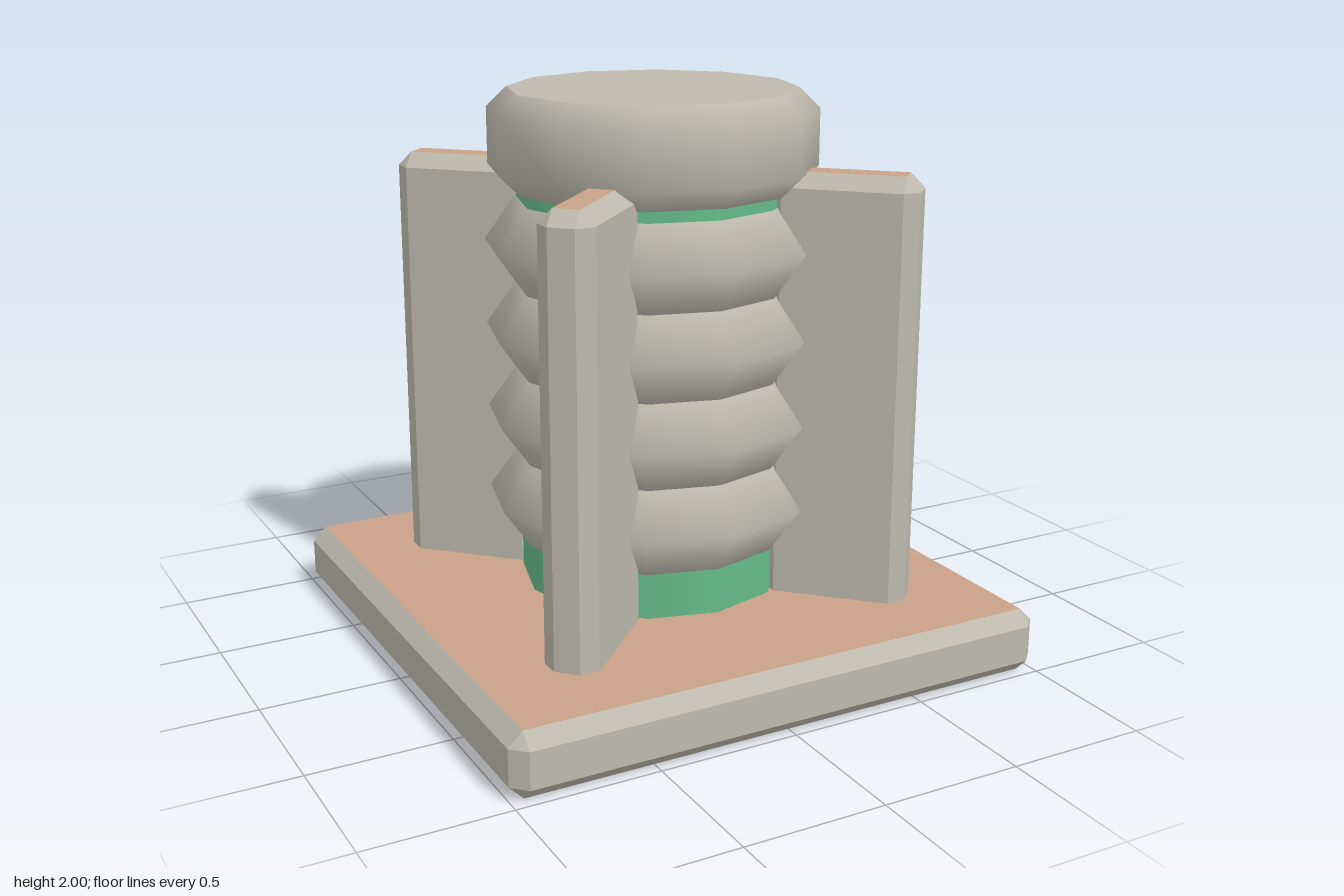
import * as THREE from 'three';
import { ConvexGeometry } from 'three/addons/geometries/ConvexGeometry.js';

const SIDES = 12;

function material(name, color) {
  const m = new THREE.MeshStandardMaterial({ color });
  m.name = name;
  return m;
}

// Box with every edge chamfered by c; group 0 = chamfers and sides, group 1 = top and bottom
function chamferedBox(w, h, d, c) {
  const half = [w / 2, h / 2, d / 2];
  const points = [];
  for (let axis = 0; axis < 3; axis++) {
    for (const sx of [-1, 1]) for (const sy of [-1, 1]) for (const sz of [-1, 1]) {
      const p = [sx, sy, sz].map((s, i) => s * (half[i] - (i === axis ? 0 : c)));
      points.push(new THREE.Vector3(...p));
    }
  }
  const geometry = new ConvexGeometry(points);
  const normal = geometry.attributes.normal;
  for (let i = 0; i < normal.count; i += 3) {
    geometry.addGroup(i, 3, Math.abs(normal.getY(i)) > 0.99 ? 1 : 0);
  }
  return geometry;
}

// Smooth twelve-sided turned shell from [radius, y] points, bottom to top
function turned(profile) {
  return new THREE.LatheGeometry(profile.map(([r, y]) => new THREE.Vector2(r, y)), SIDES);
}

export function createModel() {
  const model = new THREE.Group();
  const grey = material('warm grey', 0xbdb9ac);
  const tan = material('copper tan', 0xc9a187);
  const green = material('green', 0x66bb88);

  function add(name, geometry, mat, parent = model) {
    const mesh = new THREE.Mesh(geometry, mat);
    mesh.name = name;
    parent.add(mesh);
    return mesh;
  }

  // Square base plate
  add('basePlate', chamferedBox(2, 0.23, 2, 0.05), [grey, tan]).position.y = 0.115;

  // Four upright fins on the diagonals
  const inner = 0.43, outer = 0.944, bottom = 0.1, top = 1.74;
  const finGeometry = chamferedBox(0.19, top - bottom, outer - inner, 0.05);
  finGeometry.translate(0, (top + bottom) / 2, (inner + outer) / 2);
  for (let i = 0; i < 4; i++) {
    add('fin', finGeometry, [grey, tan]).rotation.y = Math.PI / 4 + i * Math.PI / 2;
  }

  // Central core
  add('core', turned([[0.48, 0.2], [0.48, 1.7]]), green);

  // Stack of four bulging rings around the core
  const pitch = 0.306, ringHalf = 0.152;
  const ringGeometry = turned([[0.476, -ringHalf], [0.486, -ringHalf], [0.593, 0], [0.486, ringHalf], [0.476, ringHalf]]);
  for (let i = 0; i < 4; i++) {
    add('ring', ringGeometry, grey).position.y = 0.547 + i * pitch;
  }

  // Chamfered cap with flat top and underside
  const cap = new THREE.Group();
  cap.name = 'cap';
  model.add(cap);
  add('capRim', turned([[0.505, 1.66], [0.577, 1.732], [0.577, 1.93], [0.505, 2]]), grey, cap);
  const disc = new THREE.CircleGeometry(0.505, SIDES);
  const topDisc = add('capTop', disc, grey, cap);
  topDisc.rotation.x = -Math.PI / 2;
  topDisc.position.y = 2;
  const underDisc = add('capUnderside', disc, grey, cap);
  underDisc.rotation.x = Math.PI / 2;
  underDisc.position.y = 1.66;

  return model;
}
